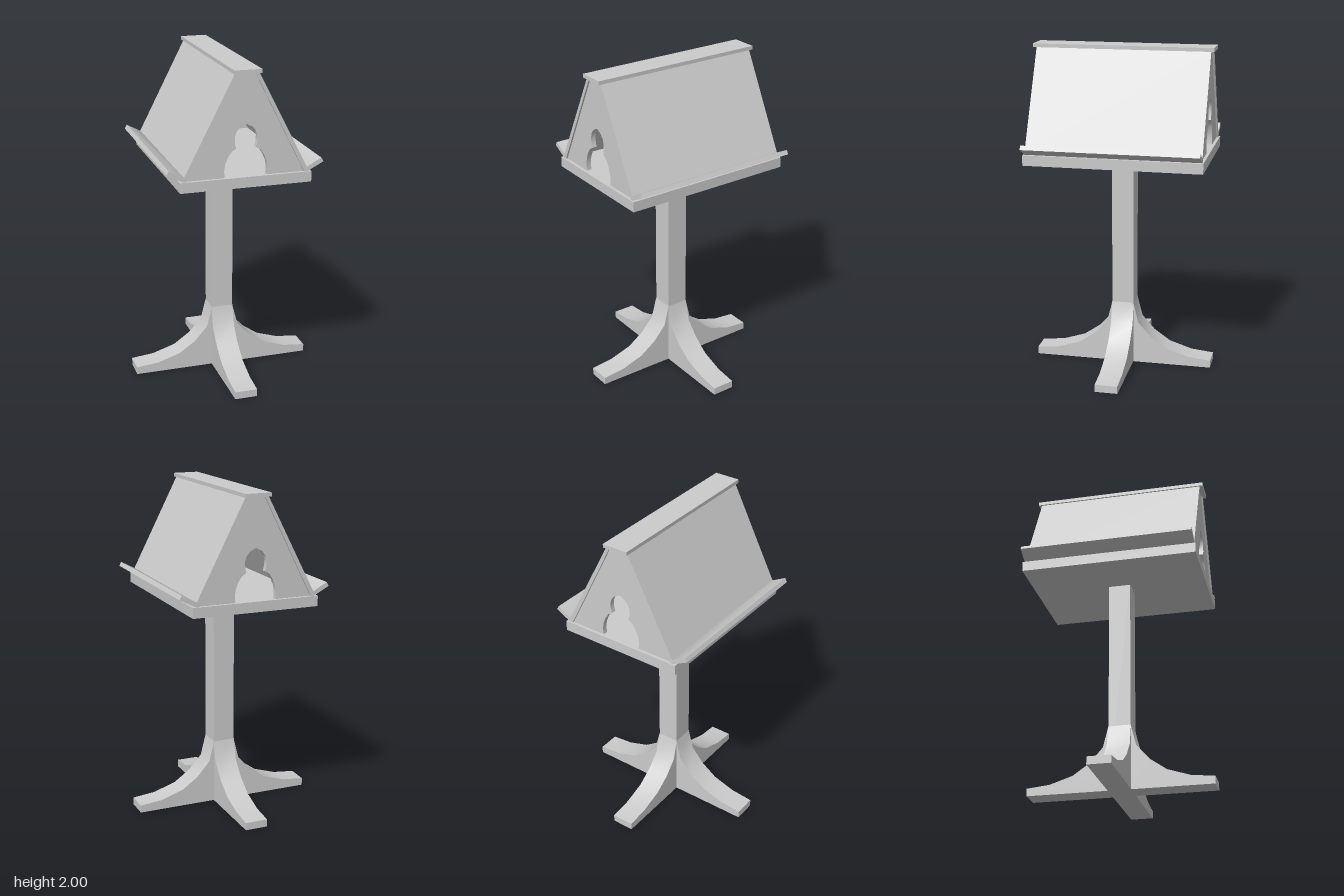
import * as THREE from 'three';
import { toCreasedNormals } from 'three/addons/utils/BufferGeometryUtils.js';

const material = new THREE.MeshStandardMaterial({ color: 0xcccccc });

function add(parent, name, geometry, x = 0, y = 0, z = 0) {
  const mesh = new THREE.Mesh(geometry, material);
  mesh.name = name;
  mesh.position.set(x, y, z);
  parent.add(mesh);
  return mesh;
}

// Extrude an xy outline, centred on z = 0
function slab(points, depth) {
  const shape = new THREE.Shape(points.map(([x, y]) => new THREE.Vector2(x, y)));
  const geometry = new THREE.ExtrudeGeometry(shape, { depth, bevelEnabled: false });
  geometry.translate(0, 0, -depth / 2);
  return toCreasedNormals(geometry, 0.6);
}

const mirrorX = (points) => points.map(([x, y]) => [-x, y]).reverse();

export function createModel() {
  const model = new THREE.Group();
  model.name = 'birdTable';

  // Post and floor board
  add(model, 'post', new THREE.BoxGeometry(0.134, 1.325, 0.134), 0, 0.6625, 0);
  add(model, 'floorBoard', new THREE.BoxGeometry(0.78, 0.062, 1.068), 0, 1.354, 0);

  // Four curved feet
  const footProfile = [
    [0.06, 0], [0.558, 0], [0.558, 0.046], [0.42, 0.06], [0.28, 0.105],
    [0.18, 0.175], [0.1, 0.265], [0.067, 0.395], [0.06, 0.395],
  ];
  const footGeometry = slab(footProfile, 0.138);
  for (let i = 0; i < 4; i++) {
    add(model, 'foot', footGeometry).rotation.y = i * Math.PI / 2;
  }

  // Gable ends with a trefoil doorway open at the floor
  const doorHalf = [
    [0.125, 1.385], [0.129, 1.425], [0.122, 1.465], [0.106, 1.505], [0.084, 1.535],
    [0.058, 1.552], [0.066, 1.58], [0.067, 1.615], [0.058, 1.645], [0.038, 1.67], [0, 1.69],
  ];
  const gable = [
    [0.348, 1.385], [0.05, 1.98], [-0.05, 1.98], [-0.348, 1.385],
    ...mirrorX(doorHalf).reverse(), ...doorHalf.slice(0, -1).reverse(),
  ];
  const gableGeometry = slab(gable, 0.03);
  for (const z of [0.5, -0.5]) add(model, 'gableEnd', gableGeometry, 0, 0, z);

  // Roof panels and upturned eave lips on both sides
  const panel = [[0.348, 1.385], [0.37, 1.4], [0.07, 1.98], [0.048, 1.98]];
  const lip = [[0.348, 1.385], [0.37, 1.385], [0.465, 1.434], [0.452, 1.458], [0.362, 1.41]];
  for (const side of [1, -1]) {
    const place = (points) => slab(side > 0 ? points : mirrorX(points), 1.05);
    add(model, 'roofPanel', place(panel));
    add(model, 'eaveLip', place(lip));
  }

  // Ridge board
  add(model, 'ridgeBoard', new THREE.BoxGeometry(0.16, 0.022, 1.09), 0, 1.989, 0);
  return model;
}
